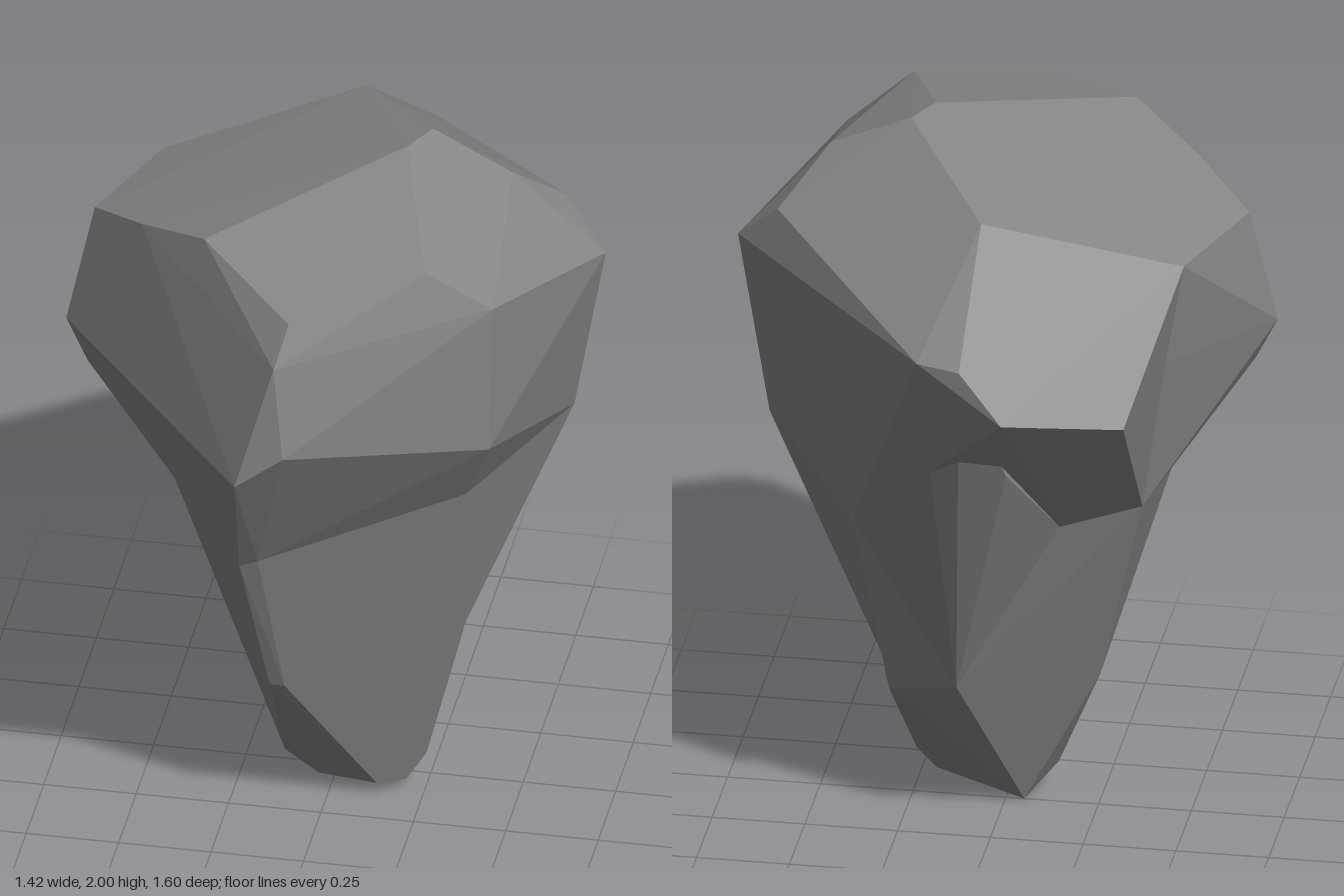
import * as THREE from 'three';
import { ConvexGeometry } from 'three/addons/geometries/ConvexGeometry.js';

const material = new THREE.MeshStandardMaterial({ color: 0x868686, flatShading: true });

// A faceted chunk of stone spanned by its corner points
function chunk(name, corners) {
  const points = corners.map(c => new THREE.Vector3(...c));
  const mesh = new THREE.Mesh(new ConvexGeometry(points), material);
  mesh.name = name;
  return mesh;
}

// Corners shared by several chunks
const rightShoulder = [0.59, 1.76, -0.15], rightPoint = [0.71, 1.64, -0.07];
const rightNeck = [0.62, 1.14, -0.10], rightNeckBack = [0.53, 1.07, -0.17];
const frontNeck = [0.41, 1.10, 0.34], backNeck = [0.35, 0.97, -0.37];
const leftNeck = [-0.47, 1.09, 0.15], leftNeckBack = [-0.40, 0.98, -0.19];
const chinHollow = [-0.20, 0.97, -0.33], notch = [0.42, 0.85, -0.05];
const backTop = [0.00, 1.88, -0.40], leftTop = [-0.52, 1.72, -0.24];
const rightRidge = [0.37, 0.57, 0.13], backRidge = [0.08, 0.47, -0.32];
const innerRidge = [0.29, 0.48, -0.21];

// Corners where the wide head meets the tapering foot
const neck = [
  [-0.16, 0.95, 0.57], [-0.11, 0.97, 0.57], frontNeck, backNeck,
  chinHollow, leftNeckBack, leftNeck,
];

// Rearmost corners of the head
const rear = [[0.12, 1.61, -0.72], [0.00, 1.61, -0.76], [-0.12, 1.48, -0.80]];

// Top plateau and shoulders
const top = [
  [0.20, 2.00, 0.07], [0.25, 2.00, -0.03], [0.18, 1.95, -0.14],
  [0.47, 1.90, -0.01], [0.33, 1.88, 0.50], [0.00, 1.81, 0.71],
  [-0.28, 1.88, 0.44], [-0.48, 1.80, 0.27], [-0.64, 1.73, 0.10],
  leftTop, backTop, rightShoulder,
];

// Widest belt of the head
const belt = [
  [-0.03, 1.70, 0.77], [0.00, 1.44, 0.80], [-0.13, 1.34, 0.80],
  [0.50, 1.75, 0.44], [0.49, 1.31, 0.44], rightPoint, rightNeck,
  rightNeckBack, [-0.71, 1.40, 0.14], [-0.65, 1.28, 0.15],
];

// Lower ridge corners and the blunt tip
const foot = [
  [-0.11, 0.48, 0.40], [-0.07, 0.48, 0.40], rightRidge, innerRidge,
  [0.28, 0.40, -0.21], backRidge, [-0.26, 0.40, -0.03], [-0.13, 0.08, 0.08],
  [0.25, 0.10, 0.06], [0.20, 0.03, 0.09], [0.13, 0.04, 0.14],
  [-0.05, 0.00, 0.00], [-0.04, 0.01, 0.07],
];

export function createModel() {
  const rock = new THREE.Group();
  rock.name = 'rock';
  rock.add(
    chunk('rockHead', [...top, ...belt, ...rear, ...neck]),
    chunk('rockFoot', [...neck, ...foot]),
    // Overhanging left rear corner of the head
    chunk('rearCorner', [
      ...rear, [-0.42, 1.41, -0.62], backTop, leftTop, leftNeckBack, chinHollow,
    ]),
    // Back slope running from the head down to the foot
    chunk('backSlope', [
      ...rear.slice(0, 2), [-0.10, 1.24, -0.60], rightNeckBack, backNeck, backRidge, chinHollow,
    ]),
    // Two flakes on the right that leave a notch between them
    chunk('frontFlake', [
      rightNeck, rightNeckBack, frontNeck, rightRidge, notch, [0.30, 1.00, 0.10],
    ]),
    chunk('rearFlake', [
      rightNeck, rightNeckBack, backNeck, innerRidge, notch, [0.30, 1.00, -0.20],
    ]),
  );
  return rock;
}
